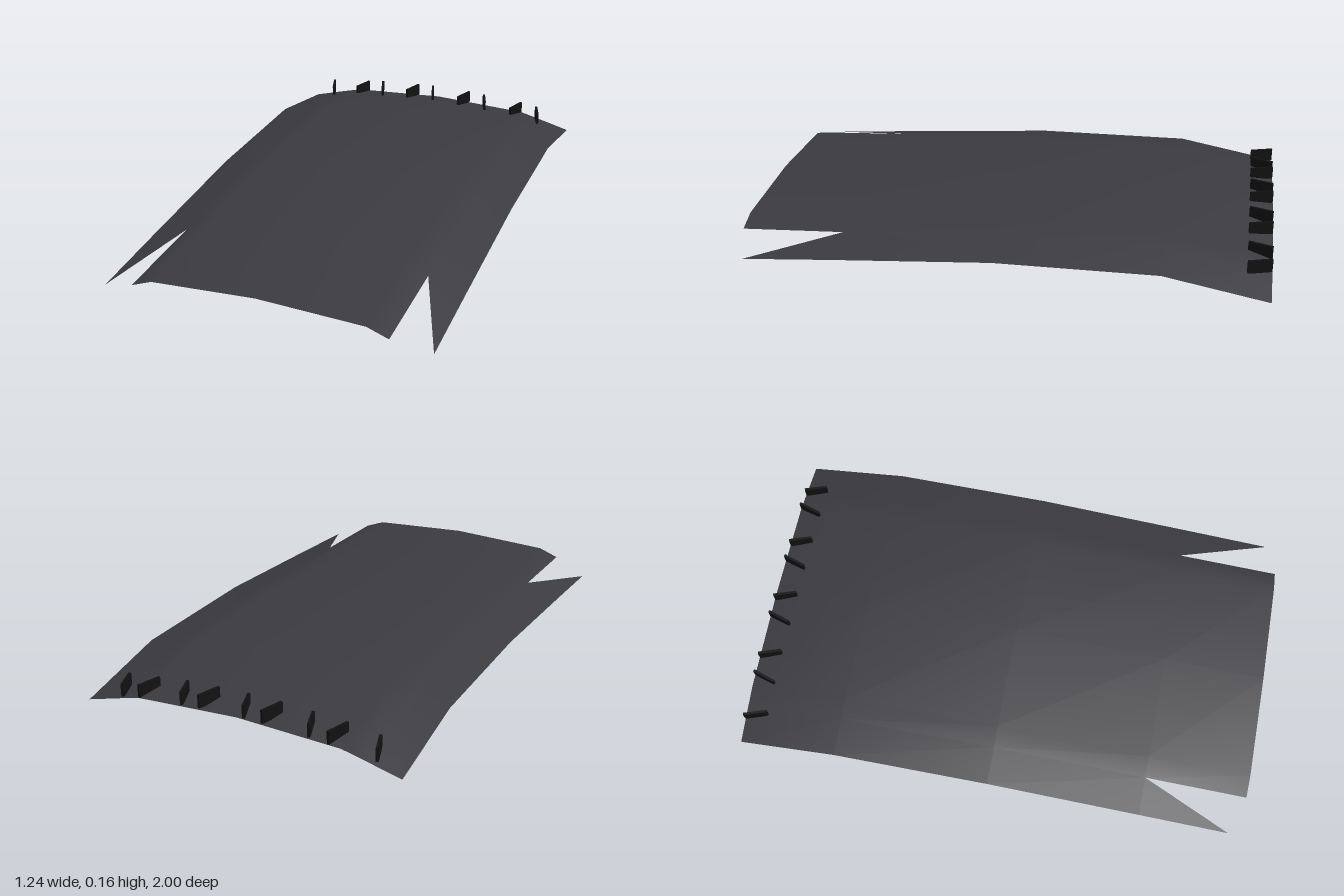
import * as THREE from 'three';

const columns = [-0.62, -0.48, -0.4, 0, 0.4, 0.48, 0.62];

// Cross-sections from back to front: z, then heights at x = 0, 0.4, 0.48, 0.62
const sections = [
  [-1.0, [0.092, 0.072, 0.052, 0.015]],
  [-0.61, [0.157, 0.136, 0.118, 0.085]],
  [0.0, [0.157, 0.136, 0.115, 0.077]],
  [0.6, [0.123, 0.103, 0.074, 0.03]],
  [1.0, [0.102, 0.082, 0.052, 0]],
];

function createPanel(material) {
  const positions = [];
  const index = [];
  const n = columns.length;
  const last = sections.length - 1;
  sections.forEach(([z, h], r) => {
    columns.forEach((x, c) => {
      // the outer front corners are the tips of the side prongs
      const tip = r === last && (c === 0 || c === n - 1);
      positions.push(x, h[Math.abs(c - 3)], tip ? 0.955 : z);
    });
  });
  for (let r = 0; r < last; r++) {
    for (let c = 0; c < n - 1; c++) {
      const a = r * n + c, b = a + n, d = a + 1, e = b + 1;
      // beside the front flap only a tapering prong remains
      if (r === last - 1 && c === 0) index.push(a, b, d);
      else if (r === last - 1 && c === n - 2) index.push(a, e, d);
      else index.push(a, b, e, a, e, d);
    }
  }
  const geometry = new THREE.BufferGeometry();
  geometry.setAttribute('position', new THREE.Float32BufferAttribute(positions, 3));
  geometry.setIndex(index);
  geometry.computeVertexNormals();
  const panel = new THREE.Mesh(geometry, material);
  panel.name = 'roofPanel';
  return panel;
}

export function createModel() {
  const model = new THREE.Group();
  model.name = 'curvedRoof';
  model.add(createPanel(new THREE.MeshStandardMaterial({ color: 0x3b3b40, side: THREE.DoubleSide })));

  // Row of small fins along the rear edge, angled alternately
  const fins = new THREE.Group();
  fins.name = 'rearFins';
  const finGeometry = new THREE.BoxGeometry(0.01, 0.05, 0.092);
  const finMaterial = new THREE.MeshStandardMaterial({ color: 0x111111 });
  for (let i = 0; i < 9; i++) {
    const x = -0.515 + 0.25 * Math.floor(i / 2) + (i % 2) * 0.15;
    const fin = new THREE.Mesh(finGeometry, finMaterial);
    fin.name = 'fin';
    fin.position.set(x, 0.118 - 0.143 * x * x, -0.954);
    fin.rotation.y = i % 2 ? -0.32 : 0.32;
    fins.add(fin);
  }
  model.add(fins);
  return model;
}
